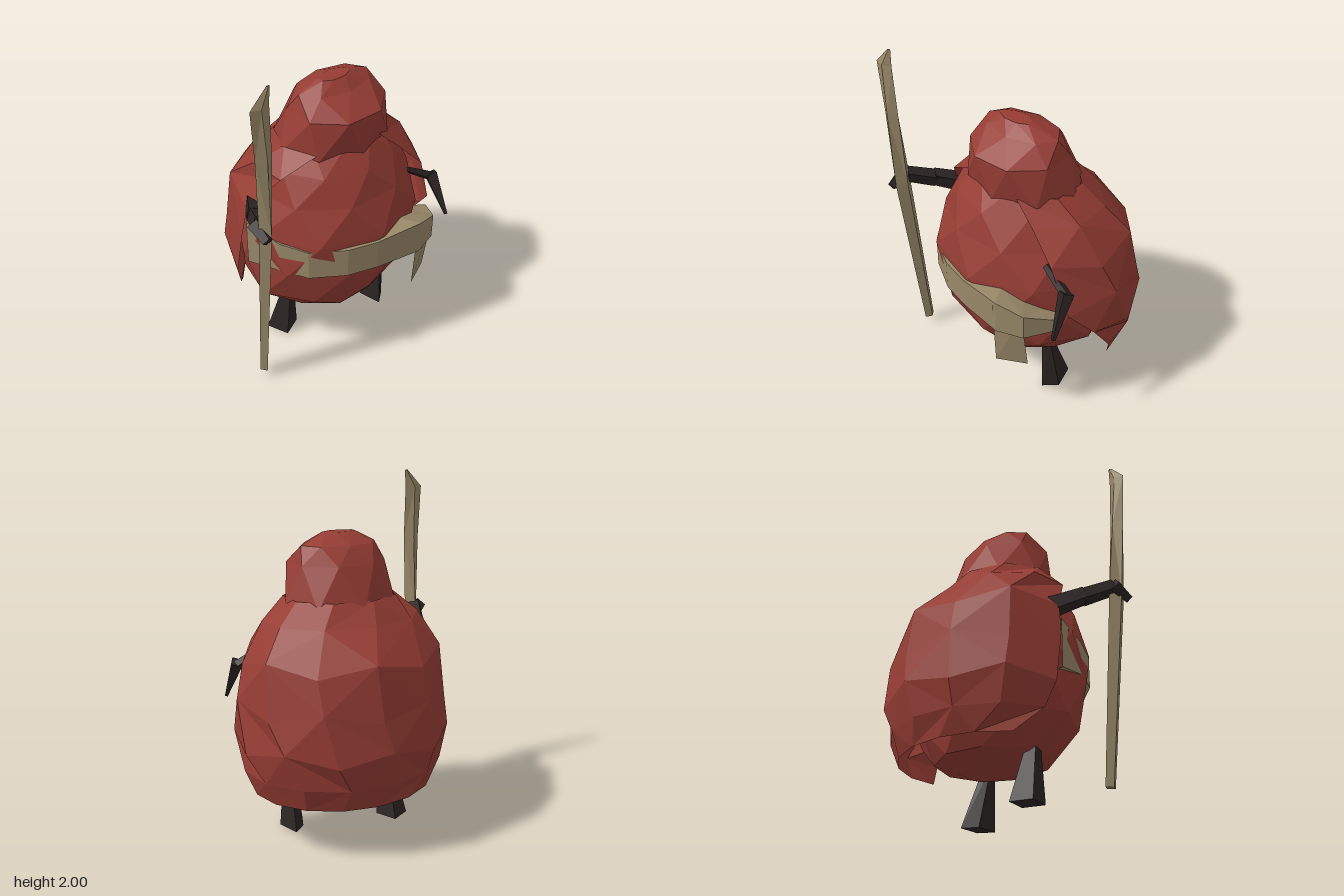
import * as THREE from 'three';

const material = (color) => new THREE.MeshStandardMaterial({ color, flatShading: true, side: THREE.DoubleSide });
const D = Math.PI / 180;

// Joins rows of [x, y, z] points, bottom to top, into a faceted skin
function loft(rows, closed = true) {
  const pos = [], n = rows[0].length;
  const tri = (a, b, c) => pos.push(...a, ...b, ...c);
  for (let r = 0; r < rows.length - 1; r++) {
    const A = rows[r], B = rows[r + 1];
    for (let i = 0; i < (closed ? n : n - 1); i++) {
      const j = (i + 1) % n;
      if ((closed ? r : i + r) % 2) { tri(A[i], B[i], B[j]); tri(A[i], B[j], A[j]); }
      else { tri(A[i], B[i], A[j]); tri(A[j], B[i], B[j]); }
    }
  }
  if (closed) {
    // flat fans close both ends
    const lo = rows[0], hi = rows[rows.length - 1];
    for (let i = 1; i < n - 1; i++) { tri(lo[0], lo[i], lo[i + 1]); tri(hi[0], hi[i + 1], hi[i]); }
  }
  const g = new THREE.BufferGeometry();
  g.setAttribute('position', new THREE.Float32BufferAttribute(pos, 3));
  g.computeVertexNormals();
  return g;
}

// Elliptical arc of points at height y, from angle a0 to a1 in degrees
function arc([y, cx, cz, rx, rz], a0, a1, steps) {
  return Array.from({ length: steps }, (_, i) => {
    const a = (a0 + (a1 - a0) * i / (steps - 1)) * D;
    return [cx + rx * Math.cos(a), y, cz + rz * Math.sin(a)];
  });
}

// Closed rings; stagger turns every other ring by half a step
const rings = (rows, n, turn = 0, stagger = 0) => loft(rows.map((r, k) => {
  const start = turn + (k % 2) * stagger * 180 / n;
  return arc(r, start, start + 360 - 360 / n, n);
}));

// Four-sided tapered rod between two points
function rod(a, b, ra, rb) {
  const p = new THREE.Vector3(...a), q = new THREE.Vector3(...b);
  const d = q.clone().sub(p);
  const g = new THREE.CylinderGeometry(rb, ra, d.length(), 4);
  g.applyQuaternion(new THREE.Quaternion().setFromUnitVectors(new THREE.Vector3(0, 1, 0), d.normalize()));
  return g.translate(...p.add(q).multiplyScalar(0.5).toArray());
}

export function createModel() {
  const group = new THREE.Group();
  const red = material(0x963d34), tan = material(0x988868), dark = material(0x2c2523);
  const add = (name, geometry, mat) => {
    const m = new THREE.Mesh(geometry, mat);
    m.name = name;
    group.add(m);
  };

  // Round belly and chest, rows of [y, cx, cz, rx, rz]
  add('belly', rings([
    [0.18, -0.06, -0.05, 0.02, 0.02],
    [0.28, 0.0, -0.05, 0.31, 0.33],
    [0.45, 0.02, -0.04, 0.40, 0.51],
    [0.68, 0.03, -0.04, 0.47, 0.54],
    [0.90, 0.03, -0.04, 0.49, 0.54],
    [1.10, 0.05, -0.04, 0.41, 0.46],
    [1.26, 0.07, -0.03, 0.32, 0.37],
    [1.38, 0.08, -0.04, 0.22, 0.26],
  ], 9, 0, 1), red);

  // Cape round the back, open towards +x; the last two numbers are its edge angles
  add('cape', loft([
    [0.30, -0.02, -0.08, 0.46, 0.53, 116, 272],
    [0.43, -0.02, -0.08, 0.51, 0.58, 98, 278],
    [0.60, -0.02, -0.08, 0.55, 0.62, 93, 293],
    [0.82, 0.00, -0.08, 0.54, 0.61, 90, 307],
    [1.06, 0.00, -0.07, 0.49, 0.57, 88, 316],
    [1.25, 0.03, -0.05, 0.35, 0.46, 68, 325],
    [1.37, 0.05, -0.05, 0.27, 0.33, 45, 335],
  ].map((r, k) => arc(r, r[5], r[6], 8).map(([x, y, z], i) =>
    [x, y + (k > 1 && k < 5 ? (i % 2 ? 0.03 : -0.03) * (k % 2 ? -1 : 1) : 0), z])), false), red);

  // Hood overhanging the chest
  add('hood', rings([
    [1.33, 0.05, -0.05, 0.28, 0.34],
    [1.55, 0.10, -0.05, 0.25, 0.28],
    [1.65, 0.07, -0.05, 0.14, 0.23],
    [1.71, 0.10, -0.03, 0.05, 0.10],
  ], 8, 0, 1), red);

  // Belt across the front, as [x, z, bottom, top], standing off the belly on its right side
  const belt = [[0.35, -0.53, 0.69, 0.76], [0.52, -0.42, 0.69, 0.84], [0.57, -0.27, 0.69, 0.89],
    [0.525, 0, 0.69, 0.87], [0.475, 0.17, 0.69, 0.87], [0.36, 0.35, 0.69, 0.87],
    [0.22, 0.44, 0.70, 0.89], [0.02, 0.51, 0.67, 0.95]];
  const edge = (h, s) => belt.map((b) => [b[0] * s, b[h], b[1] * s]);
  add('belt', loft([edge(2, 0.78), edge(2, 1), edge(3, 1), edge(3, 0.78)], false), tan);
  add('beltEnd', loft([
    [[0.47, 0.45, -0.41], [0.55, 0.45, -0.25]],
    [[0.525, 0.84, -0.41], [0.572, 0.87, -0.25]],
  ], false), tan);

  // Arms, each an upper and a lower rod, and the hand on the staff
  add('leftUpperArm', rod([0.0, 1.03, 0.44], [0.16, 1.11, 0.55], 0.06, 0.05), dark);
  add('leftForearm', rod([0.15, 1.10, 0.54], [0.31, 1.18, 0.62], 0.05, 0.045), dark);
  add('leftHand', rod([0.29, 1.18, 0.64], [0.40, 1.13, 0.64], 0.045, 0.03), dark);
  add('rightUpperArm', rod([0.31, 1.05, -0.40], [0.34, 0.95, -0.56], 0.02, 0.03), dark);
  add('rightForearm', rod([0.34, 0.97, -0.56], [0.47, 0.74, -0.58], 0.045, 0.012), dark);

  // Legs widening into feet
  add('leftLeg', rings([[0, -0.02, 0.26, 0.10, 0.09], [0.36, 0.04, 0.25, 0.035, 0.03]], 4, 20), dark);
  add('rightLeg', rings([[0, 0.12, -0.34, 0.11, 0.06], [0.36, 0.18, -0.32, 0.035, 0.035]], 4, 20), dark);

  // Tall blade-like staff
  add('staff', rings([
    [0.05, 0.24, 0.59, 0.035, 0.025],
    [1.14, 0.34, 0.61, 0.055, 0.04],
    [1.60, 0.365, 0.62, 0.033, 0.05],
    [1.90, 0.37, 0.635, 0.018, 0.055],
    [2.00, 0.372, 0.585, 0.005, 0.01],
  ], 4), tan);

  return group;
}
